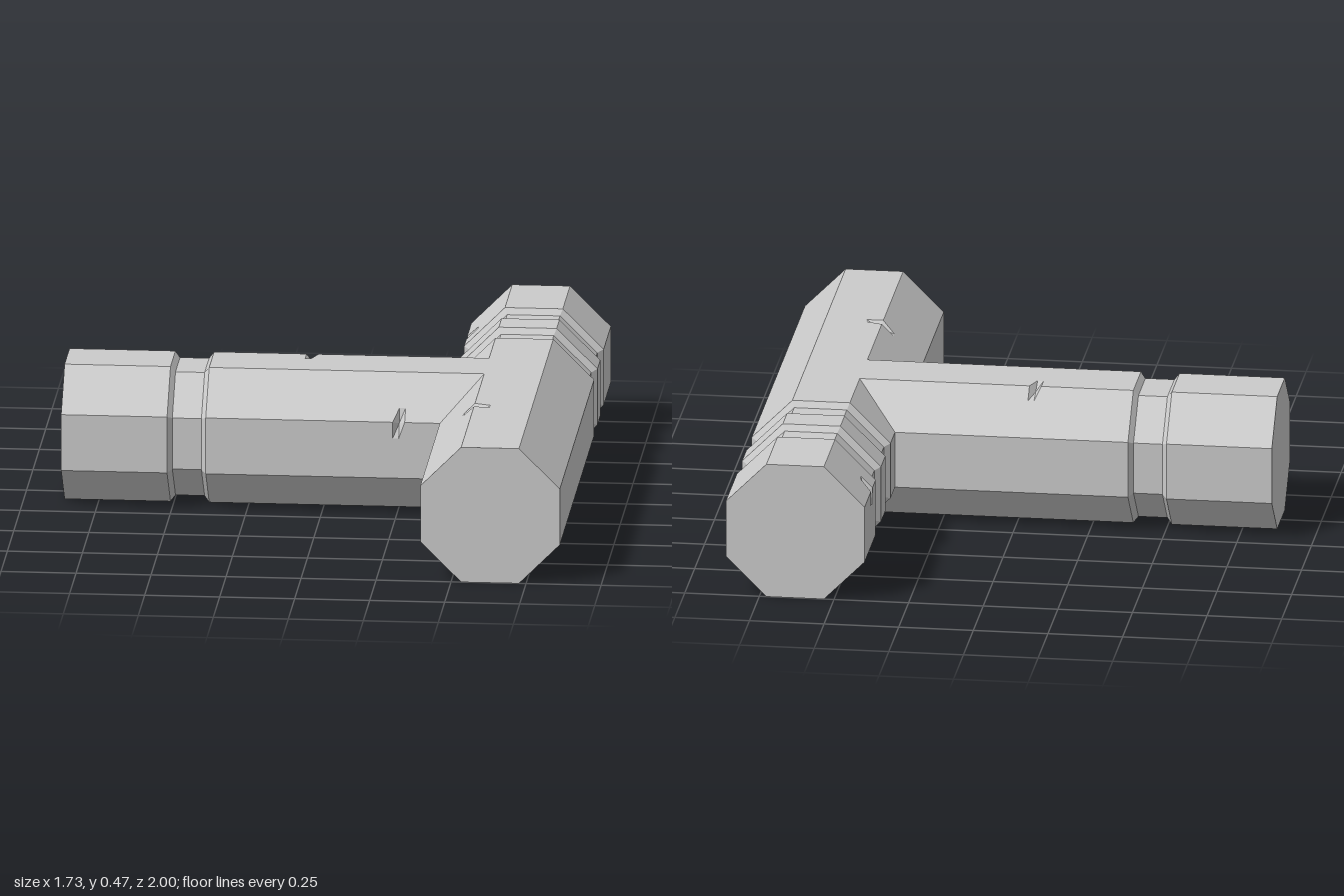
import * as THREE from 'three';

const H = 0.2325;                    // half width across flats
const R = H / Math.cos(Math.PI / 8); // corner radius
const GROOVE = 0.914;                // groove scale
const AXIS_X = 0.63;                 // x of the main bar's axis
const EDGE = 0.29;                   // share of a face that a nick reaches across

// Octagon outline with two extra points per face, so nicks stay local to an edge
function outline(i) {
  const corner = (k) => {
    const a = Math.PI / 8 + k * Math.PI / 4;
    return new THREE.Vector2(Math.sin(a), Math.cos(a));
  };
  const k = Math.floor(i / 3);
  return corner(k).lerp(corner(k + 1), [0, EDGE, 1 - EDGE][i % 3]);
}

// Octagonal bar along y with bevelled grooves [from, to] and edge nicks {at, edge}
function bar(start, end, grooves, nicks, capEnd) {
  const rings = [[start, 1], [end, 1]];
  for (const [a, b] of grooves) {
    rings.push([a, 1], [a + 0.016, GROOVE], [b - 0.016, GROOVE], [b, 1]);
  }
  for (const n of nicks) rings.push([n.at - 0.02, 1], [n.at, 1], [n.at + 0.02, 1]);
  rings.sort((p, q) => p[0] - q[0]);
  rings.unshift([start, 0]);
  if (capEnd) rings.push([end, 0]);

  const geo = new THREE.LatheGeometry(rings.map(([y, s]) => new THREE.Vector2(s * R, y)), 24);
  const pos = geo.attributes.position;
  for (let i = 0; i <= 24; i++) {
    const p = outline(i % 24);
    rings.forEach(([y, s], j) => {
      const cut = nicks.some((n) => n.at === y && n.edge * 3 === i % 24);
      const r = s * R * (cut ? 0.9 : 1);
      pos.setXYZ(i * rings.length + j, p.x * r, y, p.y * r);
    });
  }
  return geo;
}

function addPart(group, name, geo) {
  const flat = geo.toNonIndexed();
  flat.computeVertexNormals();
  const mesh = new THREE.Mesh(flat, new THREE.MeshStandardMaterial({ color: 0xcccccc, flatShading: true }));
  mesh.name = name;
  mesh.position.y = H;
  group.add(mesh);
}

export function createModel() {
  const group = new THREE.Group();
  group.name = 'teeBeam';

  // Main bar, running front to back with two grooves near the back
  const main = bar(-1, 1, [[-0.718, -0.585], [-0.477, -0.345]],
    [{ at: 0.48, edge: 4 }, { at: -0.82, edge: 5 }], true);
  main.rotateX(Math.PI / 2);
  main.translate(AXIS_X, 0, 0);
  addPart(group, 'mainBar', main);

  // Side branch with one groove
  const branch = bar(-0.865, 0.5, [[-0.512, -0.383]],
    [{ at: -0.055, edge: 5 }, { at: 0.26, edge: 7 }], false);
  branch.rotateZ(-Math.PI / 2);
  // Mitre the open end onto the main bar's faces
  const pos = branch.attributes.position;
  const half = H * Math.tan(Math.PI / 8);
  for (let i = 0; i < pos.count; i++) {
    if (pos.getX(i) > 0.49) {
      pos.setX(i, AXIS_X - Math.min(H, H + half - Math.abs(pos.getY(i))));
    }
  }
  addPart(group, 'sideBranch', branch);

  return group;
}
